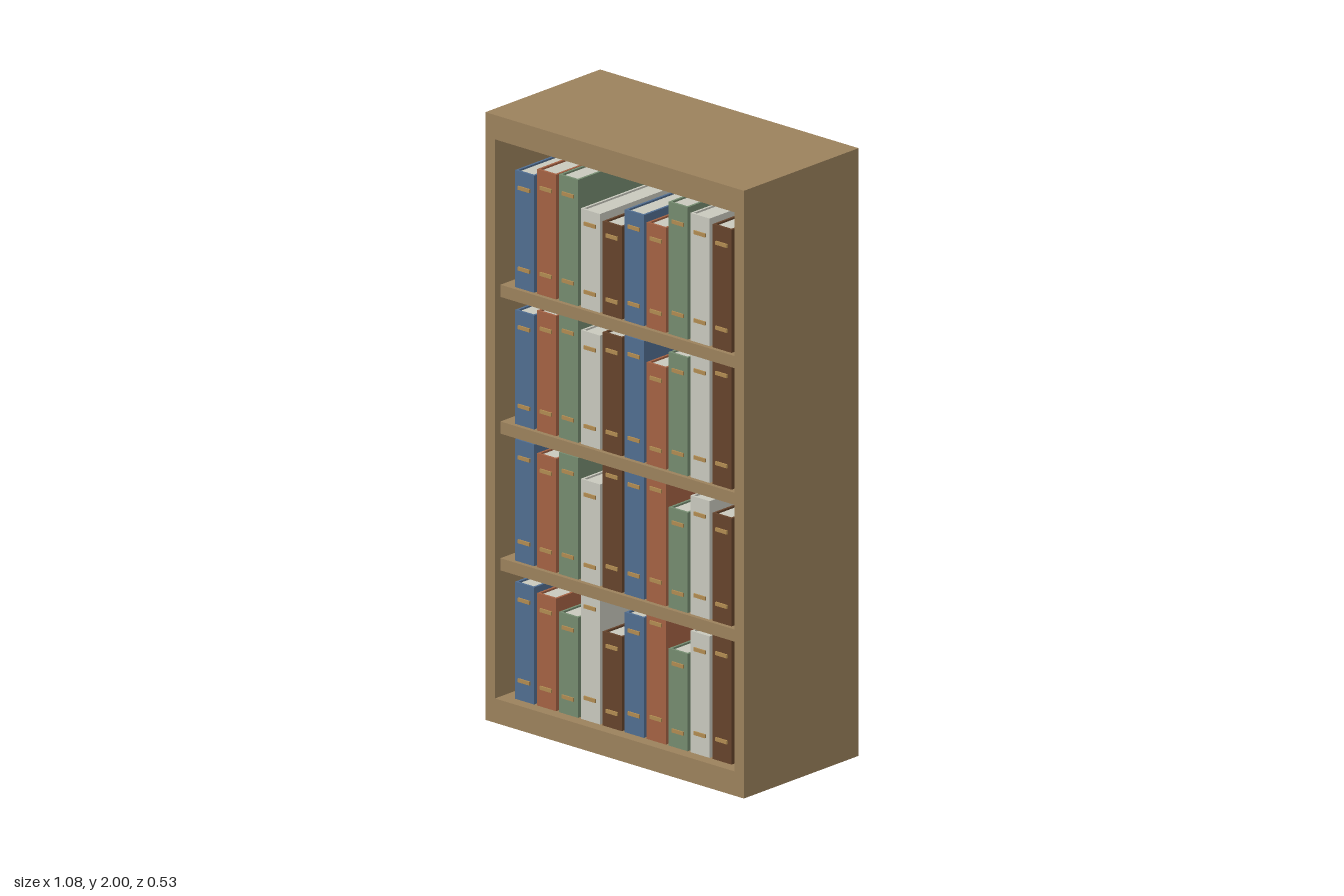
import * as THREE from 'three';

const material = (name, color) => {
  const m = new THREE.MeshStandardMaterial({ color });
  m.name = name;
  return m;
};

export function createModel() {
  const wood = material('wood', 0x9b815c);
  const cream = material('cream', 0xc8c8bd);
  const gold = material('gold', 0xb08b51);
  const covers = [
    material('blue cover', 0x506d90),
    material('rust cover', 0xa36143),
    material('green cover', 0x748b6f),
    cream,
    material('brown cover', 0x65432b),
  ];

  const model = new THREE.Group();
  model.name = 'bookcase';

  const add = (parent, name, geometry, mat, x = 0, y = 0, z = 0) => {
    const mesh = new THREE.Mesh(geometry, mat);
    mesh.name = name;
    mesh.position.set(x, y, z);
    parent.add(mesh);
    return mesh;
  };
  const box = (parent, name, w, h, d, mat, x, y, z) =>
    add(parent, name, new THREE.BoxGeometry(w, h, d), mat, x, y, z);
  const outline = (Type, points) => new Type(points.map(([x, y]) => new THREE.Vector2(x, y)));

  // Outer frame: sides, top and base as one rectangular ring
  const W = 0.54, D = 0.53;
  const ring = outline(THREE.Shape, [[-W, 0], [W, 0], [W, 2], [-W, 2]]);
  ring.holes.push(outline(THREE.Path, [[-0.5, 0.08], [-0.5, 1.92], [0.5, 1.92], [0.5, 0.08]]));
  const frame = new THREE.ExtrudeGeometry(ring, { depth: D, bevelEnabled: false });
  add(model, 'frame', frame, wood, 0, 0, -D / 2);

  // Back panel, a hair proud of the frame
  box(model, 'backPanel', 1.0, 1.92, 0.02, cream, 0, 1, -0.257);

  // Shelves, set back a little from the front
  const shelfTops = [0.535, 0.985, 1.435];
  for (const top of shelfTops) box(model, 'shelf', 1.0, 0.04, 0.487, wood, 0, top - 0.02, -0.0035);

  // A book: wrapped cover (spine and two boards), pages and two gold spine bands
  const bookW = 0.08, bookD = 0.36, front = 0.225, board = 0.008;
  const makeBook = (x, base, height, limit, cover) => {
    const book = new THREE.Group();
    book.name = 'book';
    book.position.set(x, base, front);
    const h = Math.min(height, limit);
    const a = bookW / 2, b = a - board;
    const wrap = outline(THREE.Shape, [
      [-a, 0], [a, 0], [a, bookD], [b, bookD], [b, board], [-b, board], [-b, bookD], [-a, bookD],
    ]);
    const coverGeo = new THREE.ExtrudeGeometry(wrap, { depth: h, bevelEnabled: false });
    coverGeo.rotateX(-Math.PI / 2);
    add(book, 'cover', coverGeo, cover);
    const pageD = bookD - board * 2;
    box(book, 'pages', b * 2, h - 0.012, pageD, cream, 0, h / 2, -board - pageD / 2);
    for (const t of [0.17, 0.86]) {
      box(book, 'spineBand', 0.048, 0.012, 0.006, gold, 0, height * t, 0.002);
    }
    model.add(book);
  };

  // Book heights on each shelf, from the bottom up
  const rows = [
    [0.385, 0.37, 0.33, 0.436, 0.31, 0.395, 0.452, 0.32, 0.4, 0.41],
    [0.4, 0.375, 0.4, 0.335, 0.436, 0.425, 0.436, 0.33, 0.39, 0.355],
    [0.375, 0.395, 0.413, 0.375, 0.39, 0.4, 0.335, 0.39, 0.415, 0.43],
    [0.385, 0.41, 0.415, 0.325, 0.305, 0.365, 0.345, 0.435, 0.42, 0.405],
  ];
  rows.forEach((heights, r) => {
    const base = r ? shelfTops[r - 1] : 0.08;
    const limit = r < 3 ? 0.41 : 0.48;
    heights.forEach((h, i) => makeBook((i - 4.5) * 0.0917, base, h, limit, covers[i % 5]));
  });

  return model;
}
